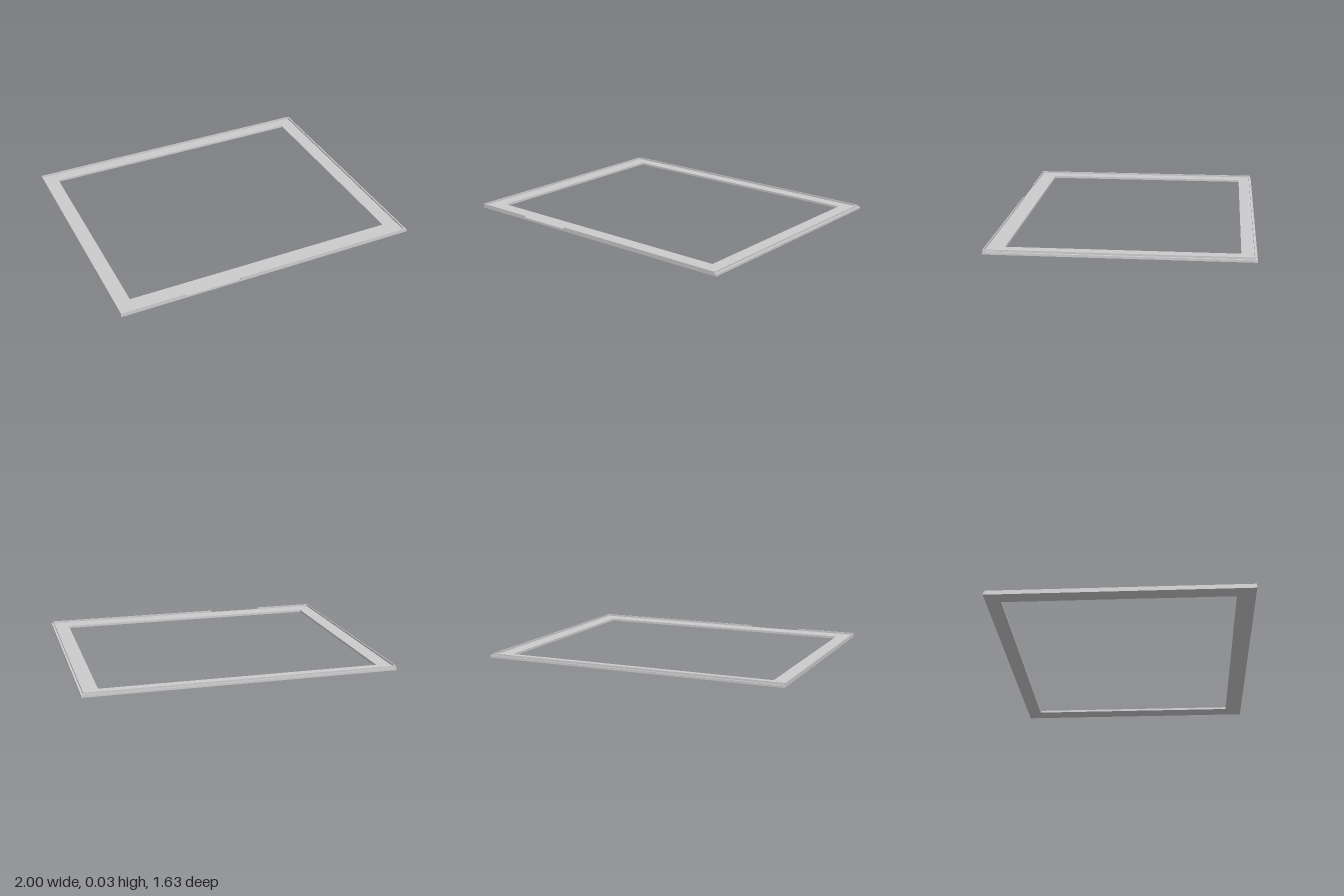
import * as THREE from 'three';

const BASE_TOP = 0.015, LIP_TOP = 0.027, LIP = 0.006;

export function createModel() {
  const group = new THREE.Group();
  const material = new THREE.MeshStandardMaterial({ color: 0xcccccc, flatShading: true });

  const add = (name, geometry) => {
    const mesh = new THREE.Mesh(geometry, material);
    mesh.name = name;
    group.add(mesh);
  };

  // Corners of a rectangle in plan; shape y is -z
  const corners = (x0, x1, z0, z1) =>
    [[x0, -z1], [x1, -z1], [x1, -z0], [x0, -z0]].map(([x, y]) => new THREE.Vector2(x, y));

  // Flat base frame with a rectangular opening
  const outline = new THREE.Shape(corners(-1, 1, -0.814, 0.814));
  outline.holes.push(new THREE.Path(corners(-0.902, 0.886, -0.72, 0.70)));
  const base = new THREE.ExtrudeGeometry(outline, { depth: BASE_TOP, bevelEnabled: false });
  base.rotateX(-Math.PI / 2);
  add('baseFrame', base);

  // Thin raised lip, inset from the left and back edges, notched at the front
  const x0 = -1, x1 = 0.986, z0 = -0.804, z1 = 0.814;
  const lip = new THREE.Shape([
    [-0.22, -z1], [x1, -z1], [x1, -z0], [x0, -z0], [x0, -z1], [-0.585, -z1],
    [-0.585, -z1 + LIP], [x0 + LIP, -z1 + LIP], [x0 + LIP, -z0 - LIP],
    [x1 - LIP, -z0 - LIP], [x1 - LIP, -z1 + LIP], [-0.22, -z1 + LIP],
  ].map(([x, y]) => new THREE.Vector2(x, y)));
  const lipGeometry = new THREE.ExtrudeGeometry(lip, { depth: LIP_TOP - BASE_TOP, bevelEnabled: false });
  lipGeometry.rotateX(-Math.PI / 2).translate(0, BASE_TOP, 0);
  add('raisedLip', lipGeometry);

  return group;
}
